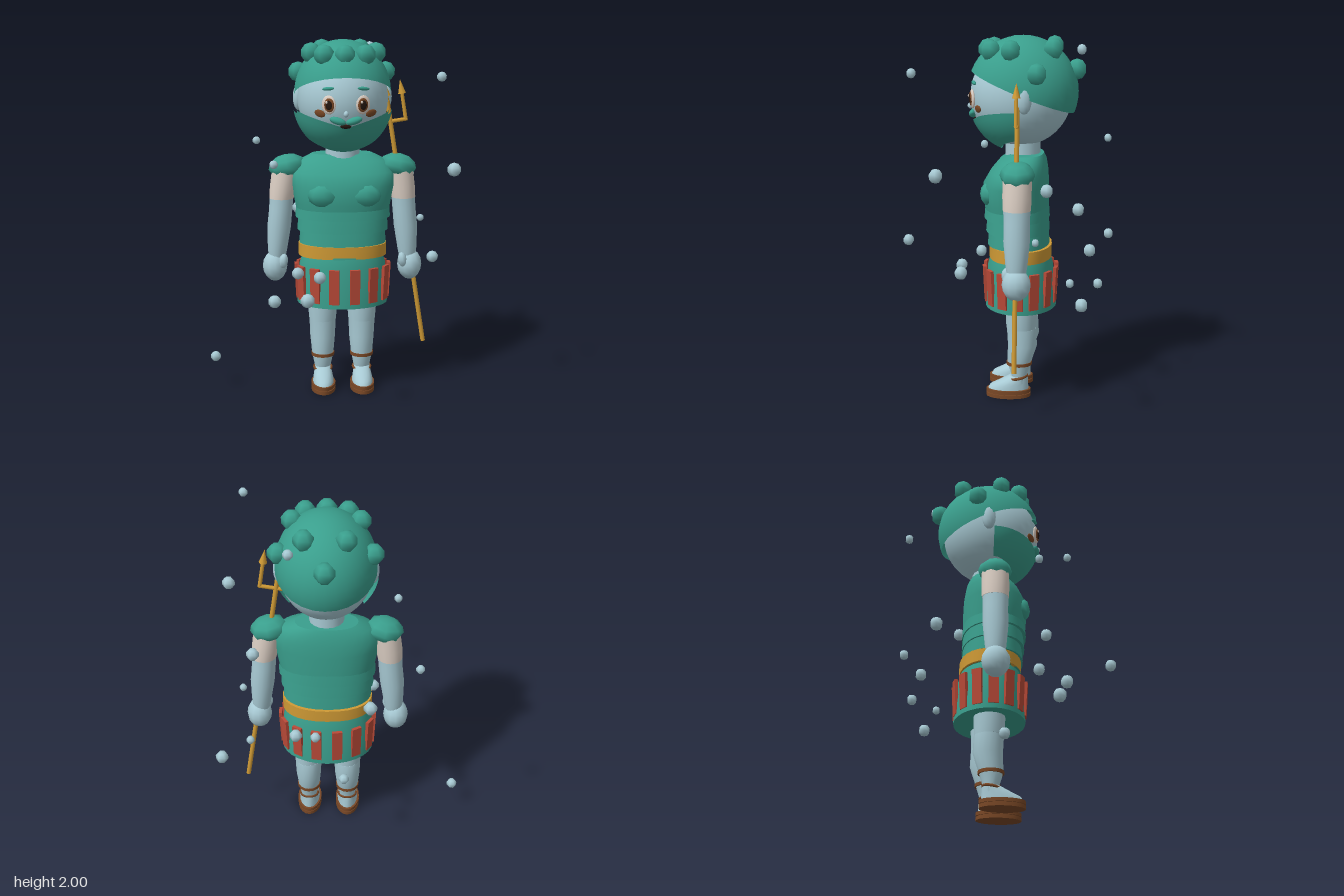
import * as THREE from 'three';

const mat = (name, color, side = THREE.FrontSide) => {
  const m = new THREE.MeshStandardMaterial({ color, side });
  m.name = name;
  return m;
};

// Stacked oval rings [y, cx, cz, rx, rz], listed upward; a repeated ring makes a sharp edge.
function loft(rows, n = 16, square = 1) {
  const first = rows[0], last = rows[rows.length - 1];
  const all = [[first[0], first[1], first[2], 0, 0], first, ...rows, last, [last[0], last[1], last[2], 0, 0]];
  const pos = [], idx = [];
  const bend = (v) => Math.sign(v) * Math.abs(v) ** square;
  for (const [y, cx, cz, rx, rz] of all)
    for (let j = 0; j < n; j++) {
      const a = (j / n) * Math.PI * 2;
      pos.push(cx + rx * bend(Math.sin(a)), y, cz + rz * bend(Math.cos(a)));
    }
  for (let i = 0; i < all.length - 1; i++) {
    if (all[i].every((v, k) => v === all[i + 1][k])) continue;
    for (let j = 0; j < n; j++) {
      const a = i * n + j, b = i * n + ((j + 1) % n);
      idx.push(a, b, b + n, a, b + n, a + n);
    }
  }
  const g = new THREE.BufferGeometry();
  g.setAttribute('position', new THREE.Float32BufferAttribute(pos, 3));
  g.setIndex(idx);
  g.computeVertexNormals();
  return g;
}

// Beard: curved sheet wrapped round the front of the jaw, with a V-shaped upper edge.
function beardGeometry(scale) {
  const g = new THREE.PlaneGeometry(1, 1, 24, 8), p = g.attributes.position;
  for (let i = 0; i < p.count; i++) {
    const a = p.getX(i) * Math.PI, v = p.getY(i) + 0.5, s = Math.abs(Math.sin(a));
    const top = Math.asin((-0.13 + 0.08 * s) / 0.29);
    const low = -1.2 + 0.42 * s ** 3;
    const lat = low + (top - low) * v;
    p.setXYZ(i, 0.278 * scale * Math.cos(lat) * Math.sin(a), 1.66 + 0.29 * Math.sin(lat) * (2 - 1 / scale),
      0.285 * scale * Math.cos(lat) * Math.cos(a));
  }
  g.computeVertexNormals();
  return g;
}

export function createModel() {
  const teal = mat('teal', 0x3a9f8d, THREE.DoubleSide), skin = mat('pale blue', 0xa8cad4);
  const cream = mat('cream', 0xdccfc4), brown = mat('brown', 0x7a4826), gold = mat('gold', 0xcf9a35);
  const red = mat('red', 0xb94a38), dark = mat('dark', 0x24160f);

  const model = new THREE.Group();
  const body = new THREE.Group();
  body.name = 'figure';
  body.position.set(0.075, 0, -0.09);
  model.add(body);

  const add = (name, geo, m, x = 0, y = 0, z = 0, parent = body) => {
    const mesh = new THREE.Mesh(geo, m);
    mesh.name = name;
    mesh.position.set(x, y, z);
    parent.add(mesh);
    return mesh;
  };
  const ball = (name, m, x, y, z, rx, ry, rz, w = 12, h = 8) => {
    const mesh = add(name, new THREE.SphereGeometry(1, w, h), m, x, y, z);
    mesh.scale.set(rx, ry, rz);
    return mesh;
  };

  // Head, neck and helmet
  ball('head', skin, 0, 1.68, 0, 0.252, 0.275, 0.275, 32, 20);
  add('neck', new THREE.CylinderGeometry(0.095, 0.095, 0.12, 16), skin, 0, 1.39, -0.01);
  const helmet = add('helmet', new THREE.SphereGeometry(1, 28, 12, 0, Math.PI * 2, 0, Math.PI / 2), teal, 0, 1.7, -0.01);
  helmet.scale.set(0.27, 0.3, 0.3);
  helmet.rotation.x = -0.38;
  const studs = [[0, 1.82, -0.3], [0, 1.925, 0.18]];
  for (const s of [-1, 1])
    studs.push([s * 0.108, 1.935, -0.175], [s * 0.245, 1.815, -0.095], [s * 0.178, 1.93, 0.045], [s * 0.112, 1.925, 0.155]);
  for (const [x, y, z] of studs) ball('helmetStud', teal, x, y, z, 0.057, 0.057, 0.057, 6, 5);

  // Beard with a thin rim
  add('beard', beardGeometry(1), teal);
  add('beardLining', beardGeometry(0.94), teal);

  // Face details follow the curve of the head
  const face = (name, m, x, y, rx, ry, depth, lift = 0, roll = 0) => {
    const dy = y - 1.68;
    const z = 0.275 * Math.sqrt(1 - (x / 0.252) ** 2 - (dy / 0.275) ** 2);
    const n = new THREE.Vector3(x / 0.252 ** 2, dy / 0.275 ** 2, z / 0.275 ** 2).normalize();
    const mesh = ball(name, m, x + n.x * lift, y + n.y * lift, z + n.z * lift, rx, ry, depth, 16, 8);
    mesh.lookAt(mesh.position.clone().add(n));
    mesh.rotateZ(roll);
  };
  for (const s of [-1, 1]) {
    face('eye', cream, s * 0.092, 1.667, 0.041, 0.052, 0.012);
    face('iris', brown, s * 0.088, 1.667, 0.029, 0.038, 0.008, 0.008);
    face('pupil', dark, s * 0.088, 1.667, 0.02, 0.027, 0.006, 0.012);
    face('eyeGlint', cream, s * 0.088 - 0.01, 1.683, 0.007, 0.008, 0.003, 0.018);
    face('eyebrow', teal, s * 0.094, 1.752, 0.035, 0.01, 0.012, 0.003, -s * 0.1);
    face('cheek', brown, s * 0.138, 1.618, 0.035, 0.021, 0.008, 0, s * 0.15);
    face('moustache', teal, s * 0.043, 1.583, 0.046, 0.02, 0.022, 0.006, s * 0.3);
    ball('ear', skin, s * 0.245, 1.68, -0.03, 0.032, 0.075, 0.04);
  }
  face('nose', skin, 0, 1.62, 0.014, 0.017, 0.018, 0.006);
  face('mouth', dark, 0, 1.55, 0.03, 0.012, 0.01, 0.004);

  // Cuirass with overlapping waist plates
  const ring = (y, rx, front, back) => [y, 0, (front + back) / 2, rx, (front - back) / 2];
  add('chestPlate', loft([ring(1.03, 0.257, 0.19, -0.155), ring(1.1, 0.27, 0.2, -0.155), ring(1.2, 0.288, 0.205, -0.155),
    ring(1.27, 0.29, 0.165, -0.15), ring(1.33, 0.245, 0.115, -0.14), ring(1.365, 0.17, 0.06, -0.125)], 28, 0.9), teal);
  for (let i = 0; i < 4; i++) {
    const y = 1.1 - i * 0.075, r = 0.274 - i * 0.011, f = 0.2 - i * 0.009;
    add('waistPlate', loft([ring(y - 0.085, r - 0.006, f, -0.16), ring(y, r - 0.012, f - 0.008, -0.154)], 28, 0.9), teal);
  }
  for (const s of [-1, 1]) ball('breastMound', teal, s * 0.117, 1.155, 0.165, 0.087, 0.065, 0.05, 8, 6);
  add('belt', loft([ring(0.79, 0.25, 0.172, -0.172), ring(0.86, 0.25, 0.172, -0.172)], 28, 0.9), gold);

  // Skirt and hanging strips
  add('skirt', loft([ring(0.51, 0.258, 0.196, -0.2), ring(0.6, 0.258, 0.193, -0.196), ring(0.74, 0.245, 0.182, -0.18),
    ring(0.8, 0.225, 0.165, -0.165)], 28), teal);
  for (let i = 0; i < 14; i++) {
    const a = ((i + 0.5) / 14) * Math.PI * 2;
    const strip = add('skirtStrip', new THREE.BoxGeometry(0.056, 0.2, 0.018), red,
      0.261 * Math.sin(a), 0.637, 0.197 * Math.cos(a));
    strip.rotation.set(0.05, Math.atan2(Math.sin(a) / 0.261, Math.cos(a) / 0.197), 0, 'YXZ');
  }

  for (const s of [-1, 1]) {
    // Legs, feet and sandals
    const x = s * 0.113;
    add('thigh', loft([[0.4, x, -0.01, 0.077, 0.082], [0.47, x, -0.01, 0.083, 0.085], [0.56, x, -0.01, 0.086, 0.088]]), skin);
    add('shin', loft([[0.08, x, 0, 0.046, 0.042], [0.12, x, 0, 0.046, 0.043], [0.2, x, 0, 0.062, 0.067],
      [0.3, x, -0.018, 0.072, 0.081], [0.4, x, -0.012, 0.076, 0.081]]), skin);
    add('foot', loft([[0.04, x, 0.062, 0.06, 0.115], [0.065, x, 0.055, 0.058, 0.106], [0.09, x, 0.03, 0.052, 0.08],
      [0.12, x, 0.003, 0.046, 0.05]]), skin);
    for (const y of [0, 0.024])
      add('sandalSole', loft([[y, x, 0.06, 0.07, 0.125], [y + 0.02, x, 0.06, 0.07, 0.125]], 20), brown);
    add('sandalCore', loft([[0.015, x, 0.06, 0.064, 0.118], [0.03, x, 0.06, 0.064, 0.118]], 20), brown);
    add('shinStrap', loft([[0.186, x, 0, 0.067, 0.071], [0.204, x, 0, 0.067, 0.071]]), brown);
    const strap = add('ankleStrap', new THREE.TorusGeometry(0.05, 0.008, 6, 16), brown, x, 0.112, 0.006);
    strap.rotation.x = Math.PI / 2 + 0.2;

    // Arms and hands
    ball('shoulderPad', teal, s * 0.312, 1.297, 0, 0.106, 0.068, 0.094, 8, 6).rotation.z = s * -0.2;
    add('sleeve', loft([[1.115, s * 0.345, 0, 0.069, 0.074], [1.18, s * 0.337, 0, 0.073, 0.077],
      [1.29, s * 0.322, 0, 0.074, 0.077]]), cream);
    add('arm', loft([[0.77, s * 0.372, 0, 0.047, 0.05], [0.82, s * 0.37, 0, 0.055, 0.058], [0.95, s * 0.36, 0, 0.067, 0.07],
      [1.05, s * 0.35, 0, 0.066, 0.069], [1.12, s * 0.345, 0, 0.067, 0.072]]), skin);
    ball('hand', skin, s * 0.385, 0.722, 0, 0.07, 0.088, 0.077, 12, 8);
    ball('thumb', skin, s * 0.338, 0.76, 0.052, 0.026, 0.043, 0.03, 8, 6).rotation.z = s * 0.15;
  }

  // Trident held in the left hand
  const trident = new THREE.Group();
  trident.name = 'trident';
  trident.position.set(0.47, 0.26, 0.005);
  trident.rotation.z = 0.157;
  body.add(trident);
  add('shaft', new THREE.CylinderGeometry(0.013, 0.013, 1.42, 8), gold, 0, 0.71, 0, trident);
  add('crossbar', new THREE.CylinderGeometry(0.011, 0.011, 0.19, 8), gold, 0, 1.3, 0, trident).rotation.z = Math.PI / 2;
  for (const i of [-1, 0, 1]) {
    add('prong', new THREE.CylinderGeometry(0.01, 0.011, 0.16, 8), gold, i * 0.087, 1.375, 0, trident);
    add('prongTip', new THREE.ConeGeometry(0.022, 0.08, 8), gold, i * 0.087, 1.485, 0, trident);
  }

  // Floating bubbles: x, y, z, radius
  const bubbles = [
    [0.547, 1.84, 0.435, 0.026], [0.643, 1.335, 0.305, 0.038], [0.643, 0.675, -0.435, 0.036], [0.533, 0.97, -0.193, 0.021],
    [0.467, 1.23, -0.247, 0.036], [-0.41, 1.373, -0.567, 0.024], [-0.315, 1.343, 0.147, 0.024], [-0.657, 0.19, -0.075, 0.03],
    [-0.086, 0.82, 0.565, 0.033], [-0.187, 0.737, 0.155, 0.034], [-0.318, 0.615, 0.285, 0.036], [-0.138, 0.612, 0.272, 0.04],
    [-0.164, 0.995, -0.403, 0.038], [-0.024, 0.6, -0.52, 0.029], [0.124, 0.93, -0.572, 0.028], [0.234, 0.86, -0.472, 0.035],
    [0.252, 1.94, -0.416, 0.028], [0.489, 0.745, -0.372, 0.024],
  ];
  for (const [x, y, z, r] of bubbles) add('bubble', new THREE.SphereGeometry(r, 6, 5), skin, x, y, z, model);

  return model;
}
